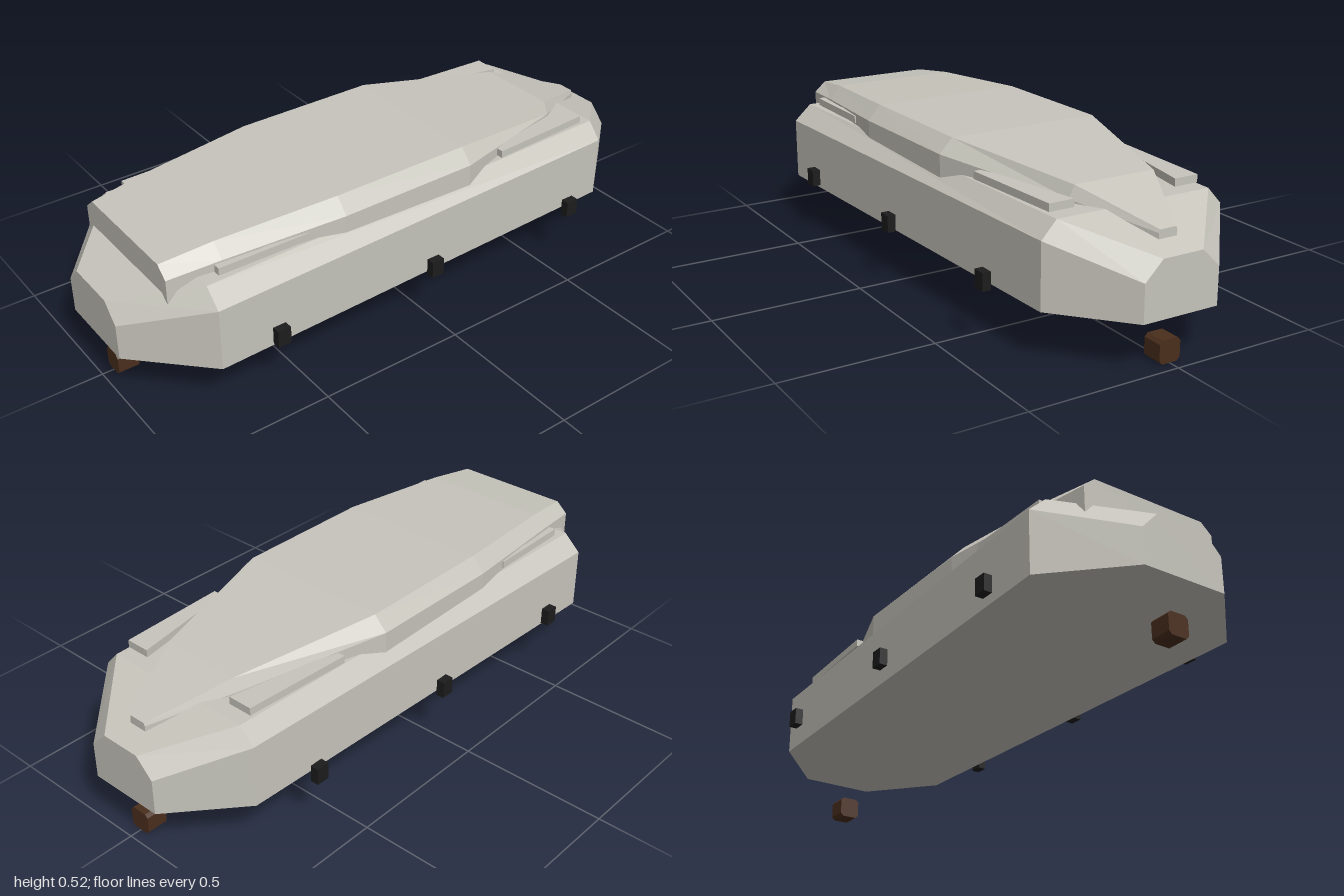
import * as THREE from 'three';

const hullPaint = new THREE.MeshStandardMaterial({ color: 0xc6c4bb });
hullPaint.name = 'pale grey';
hullPaint.flatShading = true;
const blockPaint = new THREE.MeshStandardMaterial({ color: 0x1c1c1c });
blockPaint.name = 'black';
const podPaint = new THREE.MeshStandardMaterial({ color: 0x4a2e1c });
podPaint.name = 'brown';

// Closed loft through mirrored sections; each station is { z, half: [[x, y], ...] } from bottom to top, front to back.
function loft(stations) {
  const rings = stations.map(({ z, half }) => {
    const right = half.map(([x, y]) => [x, y, z]);
    const left = half.map(([x, y]) => [-x, y, z]).reverse();
    return [...right, ...left];
  });
  const pos = [];
  const tri = (a, b, c) => pos.push(...a, ...b, ...c);
  const n = rings[0].length;
  for (let i = 0; i < rings.length - 1; i++) {
    for (let j = 0; j < n; j++) {
      const k = (j + 1) % n;
      const a = rings[i][j], b = rings[i][k], c = rings[i + 1][j], d = rings[i + 1][k];
      tri(a, c, b);
      tri(b, c, d);
    }
  }
  const front = rings[0], back = rings[rings.length - 1];
  for (let j = 1; j < n - 1; j++) {
    tri(front[0], front[j], front[j + 1]);
    tri(back[0], back[j + 1], back[j]);
  }
  const geometry = new THREE.BufferGeometry();
  geometry.setAttribute('position', new THREE.Float32BufferAttribute(pos, 3));
  geometry.computeVertexNormals();
  return geometry;
}

export function createModel() {
  const model = new THREE.Group();
  const add = (name, geometry, material, x = 0, y = 0, z = 0) => {
    const mesh = new THREE.Mesh(geometry, material);
    mesh.name = name;
    mesh.position.set(x, y, z);
    model.add(mesh);
  };

  // Lower hull: z, side half width, side top, deck half width, deck height
  const hull = [
    [1, 0.147, 0.28, 0.09, 0.34],
    [0.78, 0.37, 0.37, 0.31, 0.425],
    [-0.78, 0.32, 0.37, 0.27, 0.425],
    [-1, 0.13, 0.28, 0.07, 0.34],
  ];
  add('hull', loft(hull.map(([z, w, y, wt, yt]) => ({ z, half: [[w, 0.16], [w, y], [wt, yt]] }))), hullPaint);

  // Upper shell: z, outer half width, edge height, roof half width, roof height
  const shell = [
    [0.875, 0.245, 0.445, 0.205, 0.48],
    [0.7, 0.265, 0.455, 0.224, 0.5],
    [0.29, 0.31, 0.47, 0.265, 0.52],
    [-0.2, 0.31, 0.472, 0.265, 0.52],
    [-0.68, 0.16, 0.435, 0.142, 0.476],
    [-0.93, 0.032, 0.385, 0.028, 0.395],
  ];
  add('upperShell', loft(shell.map(([z, w, y, wt, yt]) => ({ z, half: [[w, 0.3], [w, y], [wt, yt]] }))), hullPaint);

  // Thin side plates, drawn in plan as [x, z]
  const plates = {
    frontSidePlate: [[0.272, 0.73], [0.295, 0.73], [0.3, 0.42], [0.27, 0.42], [0.282, 0.58]],
    rearSidePlate: [[0.18, -0.735], [0.265, -0.735], [0.284, -0.36], [0.25, -0.36]],
  };
  for (const side of [1, -1]) {
    for (const [name, plan] of Object.entries(plates)) {
      const shape = new THREE.Shape(plan.map(([x, z]) => new THREE.Vector2(side * x, -z)));
      const plate = new THREE.ExtrudeGeometry(shape, { depth: 0.025, bevelEnabled: false });
      plate.rotateX(-Math.PI / 2);
      add(name, plate, hullPaint, 0, 0.431, 0);
    }
    // Small blocks along the hull sides
    for (const z of [0.585, 0, -0.588]) {
      add('sideBlock', new THREE.BoxGeometry(0.028, 0.057, 0.045), blockPaint, side * 0.391, 0.208, z);
    }
  }

  // Chamfered pods below the bow and stern
  const r = 0.0365, c = 0.026;
  const outline = [[r, -c], [r, c], [c, r], [-c, r], [-r, c], [-r, -c], [-c, -r], [c, -r]];
  const podShape = new THREE.Shape(outline.map(([x, y]) => new THREE.Vector2(x, y)));
  for (const z of [0.925, -0.925]) {
    const pod = new THREE.ExtrudeGeometry(podShape, { depth: 0.07, bevelEnabled: false });
    pod.translate(0, 0, -0.035);
    add(z > 0 ? 'frontPod' : 'rearPod', pod, podPaint, 0, r, z);
  }

  return model;
}
